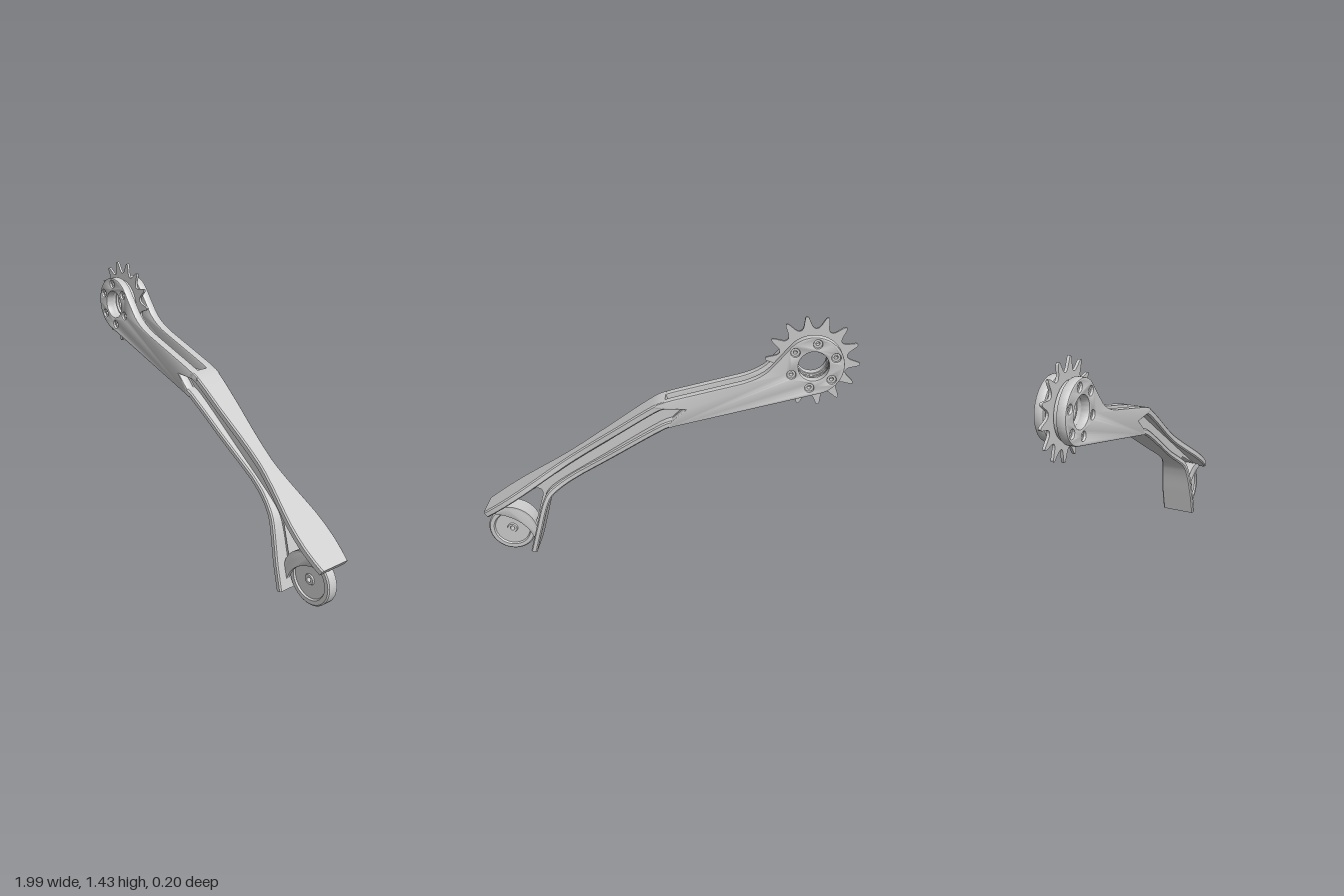
import * as THREE from 'three';
import { toCreasedNormals } from 'three/addons/utils/BufferGeometryUtils.js';

const material = new THREE.MeshStandardMaterial({ color: 0xcccccc });
const HEAD = [-0.762, 1.195];
const WHEEL = [0.855, 0.136];
const rad = THREE.MathUtils.degToRad;

function addMesh(group, name, geometry, x = 0, y = 0, z = 0) {
  const mesh = new THREE.Mesh(toCreasedNormals(geometry, 0.55), material);
  mesh.name = name;
  mesh.position.set(x, y, z);
  group.add(mesh);
  return mesh;
}

const polygon = (pts) => new THREE.Shape(pts.map((p) => new THREE.Vector2(...p)));

function circleHole(x, y, r) {
  return new THREE.Path().absarc(x, y, r, 0, Math.PI * 2, true);
}

function ringShape(outer, inner) {
  const s = new THREE.Shape().absarc(0, 0, outer, 0, Math.PI * 2, false);
  s.holes.push(circleHole(0, 0, inner));
  return s;
}

// Plate between z0 and z1, with an optional bevel kept inside the outline
function plate(shape, z0, z1, bevel = 0) {
  const g = new THREE.ExtrudeGeometry(shape, {
    depth: z1 - z0 - 2 * bevel, curveSegments: 32, bevelEnabled: bevel > 0,
    bevelSize: bevel, bevelThickness: bevel, bevelOffset: -bevel, bevelSegments: 2,
  });
  return g.translate(0, 0, z0 + bevel);
}

// Linear interpolation through [x, value] pairs
function lookup(table, x) {
  for (let i = 1; i < table.length; i++) {
    const [x0, v0] = table[i - 1], [x1, v1] = table[i];
    if (x <= x1) return v0 + (v1 - v0) * Math.max(0, (x - x0) / (x1 - x0));
  }
  return table[table.length - 1][1];
}

// Flange swept along a side-view path; side 1 thickens to the right of travel, -1 to the left
function flange(path, thickness, side, widths, steps = 64) {
  const curve = new THREE.CatmullRomCurve3(path.map(([x, y]) => new THREE.Vector3(x, y, 0)));
  const c = 0.007, t = thickness, pos = [], index = [], n = 8;
  for (let s = 0; s <= steps; s++) {
    const p = curve.getPointAt(s / steps), d = curve.getTangentAt(s / steps);
    const w = lookup(widths, p.x);
    const loop = [[0, -w + c], [c, -w], [t - c, -w], [t, -w + c], [t, w - c], [t - c, w], [c, w], [0, w - c]];
    if (side > 0) loop.reverse();
    for (const [a, z] of loop) pos.push(p.x + side * d.y * a, p.y - side * d.x * a, z);
  }
  for (let s = 0; s < steps; s++) {
    for (let j = 0; j < n; j++) {
      const a = s * n + j, b = s * n + (j + 1) % n;
      index.push(a, b, b + n, a, b + n, a + n);
    }
  }
  const e = steps * n;
  for (let j = 1; j < n - 1; j++) index.push(0, j + 1, j, e, e + j, e + j + 1);
  const g = new THREE.BufferGeometry();
  g.setAttribute('position', new THREE.Float32BufferAttribute(pos, 3));
  g.setIndex(index);
  return g;
}

function sprocketShape(teeth, root, tip) {
  const s = new THREE.Shape();
  const step = (Math.PI * 2) / teeth;
  const at = (r, a) => [r * Math.cos(a), r * Math.sin(a)];
  for (let i = 0; i < teeth; i++) {
    const a = rad(2) + i * step;
    if (i === 0) s.moveTo(...at(tip - 0.008, a - 0.04));
    s.quadraticCurveTo(...at(tip + 0.008, a), ...at(tip - 0.008, a + 0.04));
    s.lineTo(...at(root + 0.02, a + 0.1));
    s.bezierCurveTo(...at(root - 0.008, a + 0.17), ...at(root - 0.008, a + step - 0.17),
      ...at(root + 0.02, a + step - 0.1));
    s.lineTo(...at(tip - 0.008, a + step - 0.04));
  }
  s.holes.push(circleHole(0, 0, 0.082));
  return s;
}

// Side outline of the upper arm: round head, tapering to the notched end of the beam
function cheekShape() {
  const s = new THREE.Shape();
  s.absarc(...HEAD, 0.152, rad(35), rad(255), false);
  s.lineTo(-0.1, 0.846);
  s.quadraticCurveTo(-0.07, 0.838, -0.045, 0.828);
  s.lineTo(-0.045, 0.858);
  s.lineTo(-0.13, 0.937);
  s.lineTo(0.03, 0.935);
  s.lineTo(0.03, 0.955);
  s.quadraticCurveTo(-0.02, 0.978, -0.086, 0.997);
  s.lineTo(-0.39, 1.085);
  s.bezierCurveTo(-0.46, 1.105, -0.52, 1.135, -0.56, 1.185);
  s.holes.push(circleHole(...HEAD, 0.076));
  for (let i = 0; i < 6; i++) {
    const a = rad(36 + i * 60);
    s.holes.push(circleHole(HEAD[0] + 0.117 * Math.cos(a), HEAD[1] + 0.117 * Math.sin(a), 0.022));
  }
  return s;
}

export function createModel() {
  const model = new THREE.Group();
  model.name = 'chainArm';

  // Forked upper arm, with screws recessed in both cheeks
  for (const side of [1, -1]) {
    const [z0, z1] = side > 0 ? [0.03, 0.077] : [-0.077, -0.03];
    addMesh(model, 'armCheek', plate(cheekShape(), z0, z1, 0.006));
    addMesh(model, 'hubRing', plate(ringShape(0.137, 0.082), side > 0 ? 0.011 : -0.032, side > 0 ? 0.032 : -0.011), ...HEAD);
    for (let i = 0; i < 6; i++) {
      const a = rad(36 + i * 60);
      const g = plate(ringShape(0.023, 0.01), side > 0 ? 0.03 : -0.064, side > 0 ? 0.064 : -0.03);
      addMesh(model, 'screw', g, HEAD[0] + 0.117 * Math.cos(a), HEAD[1] + 0.117 * Math.sin(a));
    }
  }
  addMesh(model, 'hubCore', plate(ringShape(0.125, 0.088), -0.012, 0.012), ...HEAD);
  addMesh(model, 'armCore', plate(polygon([
    [-0.37, 0.918], [-0.1, 0.847], [-0.045, 0.832], [-0.045, 0.858], [-0.12, 0.935], [0.03, 0.935], [0.02, 0.95], [-0.37, 0.95],
  ]), -0.032, 0.032));

  // Toothed wheel between the cheeks
  addMesh(model, 'sprocket', plate(sprocketShape(14, 0.175, 0.238), -0.007, 0.007), ...HEAD);

  // Beam flanges, pinched at the waist and flared at the ends
  const upperWidths = [[-0.1, 0.077], [0, 0.077], [0.2, 0.065], [0.35, 0.051], [0.43, 0.046], [0.5, 0.045],
    [0.55, 0.05], [0.62, 0.062], [0.7, 0.079], [0.77, 0.093], [0.83, 0.099], [0.89, 0.1], [0.95, 0.094], [1, 0.084]];
  addMesh(model, 'upperFlange', flange([
    [-0.02, 0.976], [0.02, 0.961], [0.064, 0.934], [0.3, 0.766], [0.65, 0.516], [0.995, 0.27],
  ], 0.04, 1, upperWidths));
  const lowerWidths = [[-0.1, 0.077], [0, 0.077], [0.2, 0.065], [0.35, 0.051], [0.43, 0.046], [0.5, 0.05],
    [0.55, 0.06], [0.6, 0.075], [0.64, 0.09], [0.67, 0.098], [0.71, 0.1]];
  addMesh(model, 'lowerFlangeAndStrut', flange([
    [-0.09, 0.844], [-0.045, 0.83], [0.01, 0.799], [0.3, 0.602], [0.55, 0.43],
    [0.6, 0.383], [0.628, 0.32], [0.665, 0.18], [0.705, 0.025],
  ], 0.034, -1, lowerWidths, 90));

  // Thin web joining the flanges, with a triangular opening above the wheel
  const web = polygon([
    [0.71, 0.06], [0.655, 0.32], [0.62, 0.39], [0.57, 0.43], [0.02, 0.81], [-0.06, 0.85], [-0.13, 0.93],
    [0, 0.945], [0.06, 0.915], [0.94, 0.285],
  ].reverse());
  const rim = new THREE.Path().absarc(...WHEEL, 0.141, rad(56), rad(200), false);
  const webOutline = new THREE.Shape([...web.getPoints(), ...[]]);
  const arc = rim.getPoints(24);
  const outline = new THREE.Shape([...webOutline.getPoints().slice(0, 1), ...arc,
    ...webOutline.getPoints().slice(1).reverse()]);
  const opening = new THREE.Path();
  opening.moveTo(0.707, 0.205);
  opening.lineTo(0.662, 0.37);
  opening.quadraticCurveTo(0.66, 0.41, 0.7, 0.406);
  opening.lineTo(0.893, 0.288);
  opening.absarc(...WHEEL, 0.152, rad(80), rad(156), false);
  outline.holes.push(opening);
  addMesh(model, 'web', plate(outline, -0.024, 0.024));

  // Fender over the wheel and the curved guards on its sides
  const fender = new THREE.Shape().absarc(...WHEEL, 0.153, rad(50), rad(200), false);
  fender.absarc(...WHEEL, 0.139, rad(200), rad(50), true);
  addMesh(model, 'fender', plate(fender, -0.05, 0.05));
  const guard = new THREE.Shape().absarc(...WHEEL, 0.145, rad(46), rad(204), false);
  guard.quadraticCurveTo(0.765, 0.225, 0.956, 0.24);
  for (const z of [0.031, -0.05]) addMesh(model, 'wheelGuard', plate(guard, z, z + 0.019, 0.003));

  // Wheel with raised rim and hub
  const half = [[0.013, 0.028], [0.026, 0.028], [0.03, 0.021], [0.1, 0.021], [0.106, 0.03], [0.128, 0.03], [0.135, 0.024]];
  const profile = [...half.map(([r, z]) => [r, -z]), ...half.slice().reverse(), [0.013, -0.028]];
  const wheel = new THREE.LatheGeometry(profile.map((p) => new THREE.Vector2(...p)), 64);
  addMesh(model, 'wheel', wheel.rotateX(Math.PI / 2), ...WHEEL);

  return model;
}
